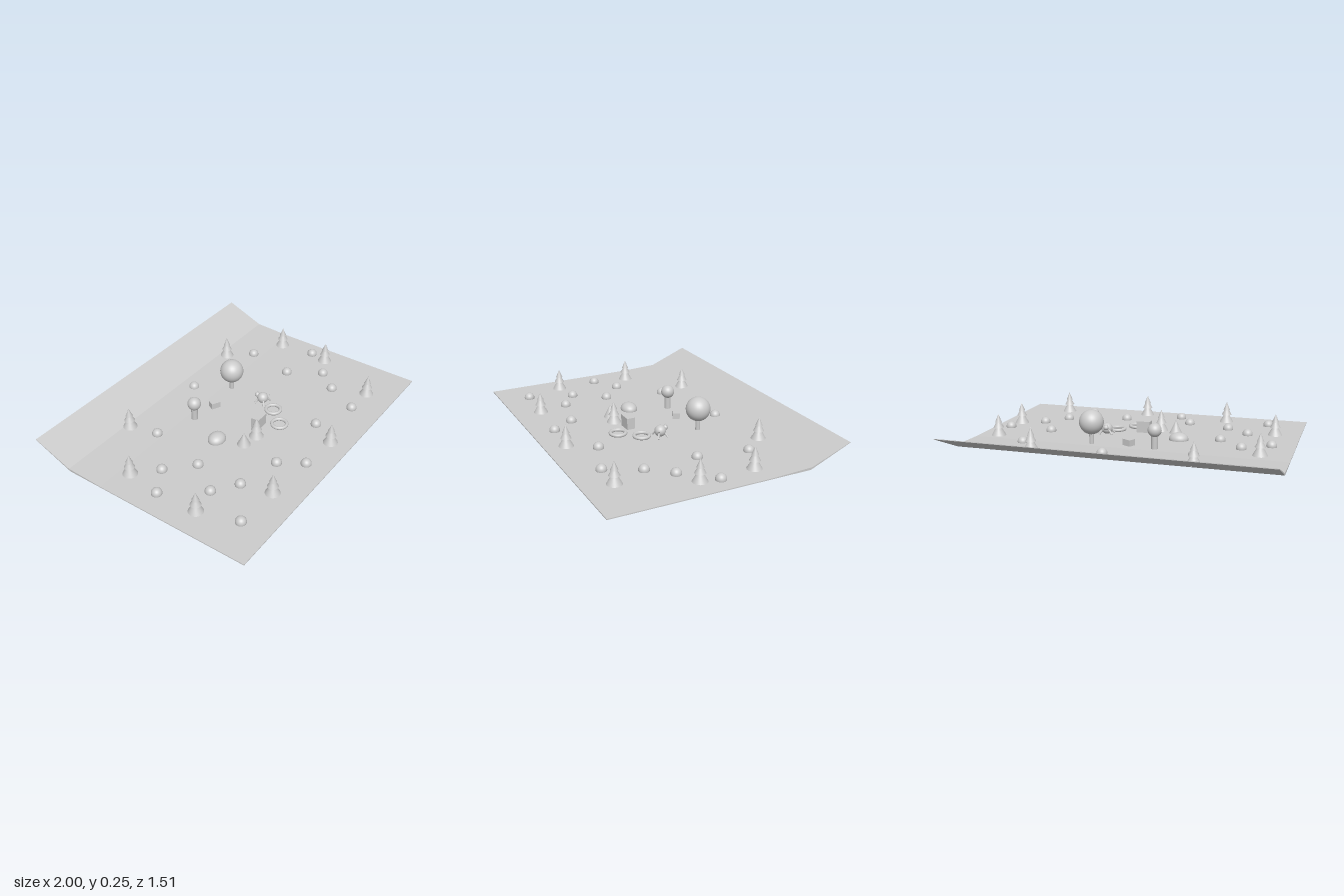
import * as THREE from 'three';

const material = new THREE.MeshStandardMaterial({ color: 0xcccccc });

function add(parent, name, geometry, x, y, z) {
  const mesh = new THREE.Mesh(geometry, material);
  mesh.name = name;
  mesh.position.set(x, y, z);
  parent.add(mesh);
  return mesh;
}

const ball = (r) => new THREE.SphereGeometry(r, 32, 20);

// Thin strip of ground that curls upward at the back
function makeGround() {
  const profile = [
    [0.757, 0.03], [0.757, 0.036], [-0.25, 0.036], [-0.5, 0.045],
    [-0.757, 0.147], [-0.757, 0.143], [-0.49, 0.03],
  ];
  // Shape x holds -z so that the extrusion runs along the width
  const shape = new THREE.Shape(profile.map(([z, y]) => new THREE.Vector2(-z, y)));
  const geometry = new THREE.ExtrudeGeometry(shape, { depth: 2, bevelEnabled: false });
  geometry.translate(0, 0, -1);
  geometry.rotateY(Math.PI / 2);
  return geometry;
}

// Three stacked cones on a short trunk
function addPine(parent, x, z) {
  const pine = new THREE.Group();
  pine.name = 'pineTree';
  pine.position.set(x, 0, z);
  add(pine, 'pineTrunk', new THREE.CylinderGeometry(0.012, 0.012, 0.03, 16), 0, 0.045, 0);
  for (const [r, bottom, top] of [[0.046, 0.042, 0.125], [0.033, 0.093, 0.155], [0.022, 0.127, 0.18]]) {
    add(pine, 'pineTier', new THREE.ConeGeometry(r, top - bottom, 28), 0, (top + bottom) / 2, 0);
  }
  parent.add(pine);
}

// Round crown on a trunk
function addRoundTree(parent, x, z, crownY, crownR, trunkR) {
  const tree = new THREE.Group();
  tree.name = 'roundTree';
  tree.position.set(x, 0, z);
  const height = crownY - 0.03;
  add(tree, 'trunk', new THREE.CylinderGeometry(trunkR, trunkR, height, 20), 0, 0.03 + height / 2, 0);
  add(tree, 'crown', ball(crownR), 0, crownY, 0);
  parent.add(tree);
}

// Small round creature with a head, legs and a tail
function addCreature(parent, x, z) {
  const creature = new THREE.Group();
  creature.name = 'creature';
  creature.position.set(x, 0, z);
  add(creature, 'body', ball(0.036), 0, 0.072, 0);
  add(creature, 'head', ball(0.016), -0.006, 0.085, -0.038);
  for (const sx of [-1, 1]) {
    add(creature, 'ear', new THREE.ConeGeometry(0.006, 0.02, 10), -0.006 + sx * 0.01, 0.1, -0.042);
    for (const sz of [-1, 1]) {
      const leg = add(creature, 'leg', new THREE.CylinderGeometry(0.006, 0.006, 0.045, 10), sx * 0.03, 0.055, sz * 0.025);
      leg.rotation.set(-sz * 0.4, 0, sx * 0.6);
    }
  }
  const tail = add(creature, 'tail', new THREE.ConeGeometry(0.006, 0.035, 10), 0.036, 0.08, 0.025);
  tail.rotation.z = -1.1;
  parent.add(creature);
}

export function createModel() {
  const model = new THREE.Group();
  model.name = 'parkScene';
  add(model, 'ground', makeGround(), 0, 0, 0);

  // Pines around the clearing
  const pines = [
    [-0.487, -0.475], [0.523, -0.455], [-0.818, -0.182], [0.863, -0.203], [0.863, 0.147],
    [-0.84, 0.32], [-0.472, 0.587], [0.107, 0.63], [0.683, 0.573], [-0.105, 0.225],
  ];
  for (const [x, z] of pines) addPine(model, x, z);

  // Round bushes partly sunk into the ground
  const bushes = [
    [-0.855, 0.05], [-0.685, -0.053], [-0.443, -0.29], [0.085, -0.41], [0.645, -0.308], [0.588, 0.008],
    [0.888, 0.03], [0.72, 0.217], [0.6, 0.356], [0.49, 0.567], [0.21, 0.466], [-0.147, 0.611],
    [-0.243, 0.463], [-0.52, 0.396], [-0.667, 0.29], [-0.527, 0.094], [-0.762, 0.57],
  ];
  for (const [x, z] of bushes) add(model, 'bush', ball(0.033), x, 0.043, z);

  addRoundTree(model, 0.227, -0.2, 0.174, 0.077, 0.015);
  addRoundTree(model, -0.18, -0.2, 0.152, 0.043, 0.021);

  // Boulder
  add(model, 'boulder', ball(1), -0.27, 0.042, 0.043).scale.set(0.062, 0.042, 0.053);

  // Tent and boxes
  add(model, 'tent', new THREE.ConeGeometry(0.044, 0.09, 32), -0.21, 0.077, 0.204);
  add(model, 'largeBox', new THREE.BoxGeometry(0.09, 0.075, 0.053), -0.003, 0.073, 0.173);
  add(model, 'smallBox', new THREE.BoxGeometry(0.06, 0.06, 0.047), -0.006, 0.046, -0.171).rotation.y = -0.46;

  // Rings lying on the ground
  for (const [x, z] of [[0.177, 0.165], [0.075, 0.278]]) {
    add(model, 'ring', new THREE.TorusGeometry(0.047, 0.011, 14, 40), x, 0.046, z).rotation.x = Math.PI / 2;
  }

  addCreature(model, 0.215, 0.057);
  return model;
}
